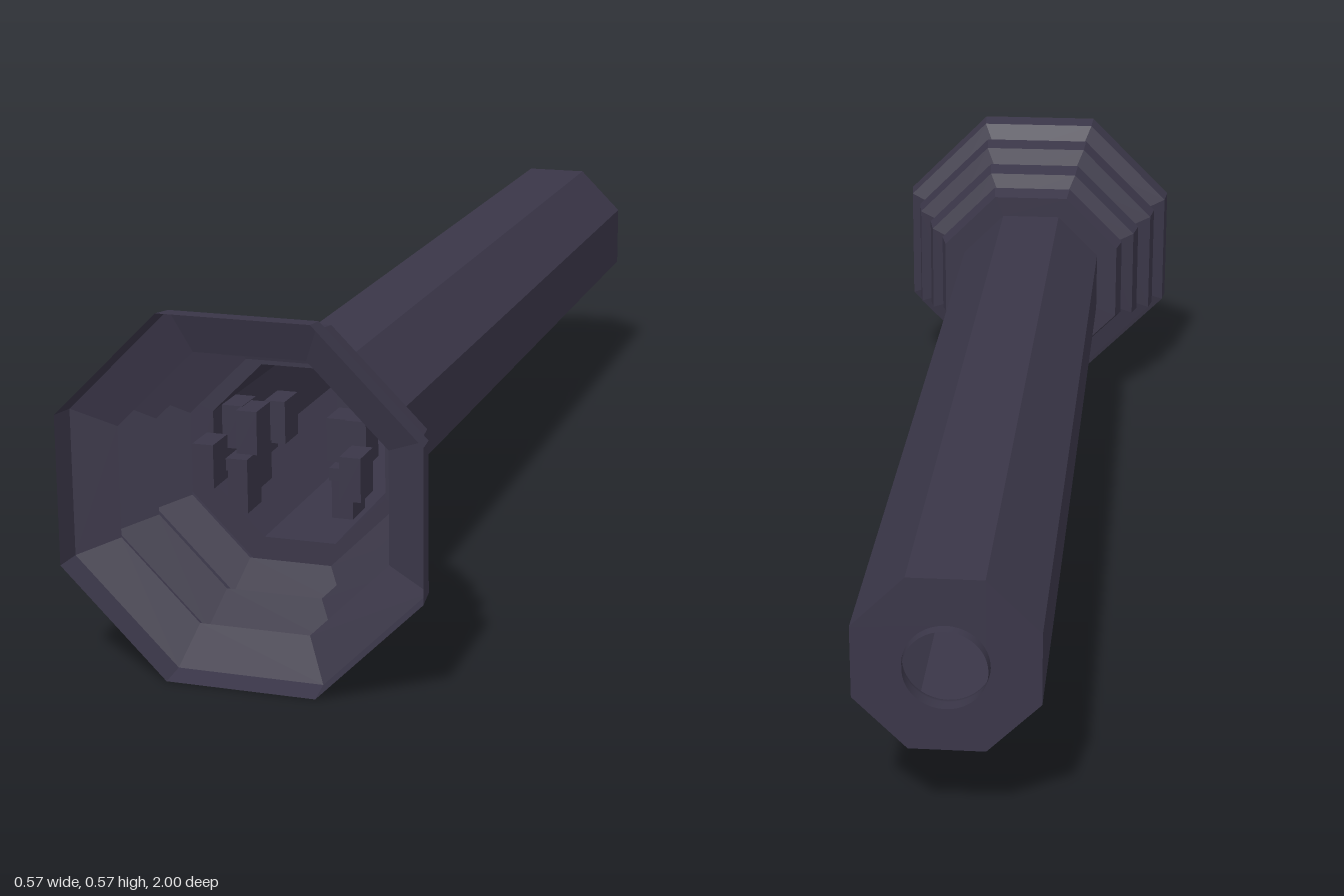
import * as THREE from 'three';

const CENTRE_Y = 0.286;
const material = new THREE.MeshStandardMaterial({ color: 0x3a3648, flatShading: true, side: THREE.DoubleSide });
const smooth = new THREE.MeshStandardMaterial({ color: 0x3a3648, side: THREE.DoubleSide });

// Sweep [radius, z] pairs around the z axis; octagons take the distance to a flat.
function sweep(name, profile, sides) {
  const octagon = sides === 8;
  const k = octagon ? 1 / Math.cos(Math.PI / 8) : 1;
  const points = profile.map(([r, z]) => new THREE.Vector2(r * k, z));
  const geometry = new THREE.LatheGeometry(points, sides, octagon ? Math.PI / 8 : 0);
  geometry.rotateX(Math.PI / 2);
  const mesh = new THREE.Mesh(geometry, octagon ? material : smooth);
  mesh.name = name;
  return mesh;
}

export function createModel() {
  const model = new THREE.Group();
  model.name = 'octagonalHorn';
  const body = new THREE.Group();
  body.name = 'body';
  body.position.y = CENTRE_Y;
  model.add(body);

  // Pleated bell: each ridge is a short band between two pinched grooves
  body.add(sweep('bell', [
    [0.285, 1], [0.28, 0.957], [0.213, 0.935],
    [0.258, 0.91], [0.251, 0.867], [0.187, 0.85],
    [0.226, 0.83], [0.217, 0.79], [0.162, 0.775],
    [0.193, 0.765], [0.183, 0.73], [0.142, 0.73],
  ], 8));

  // Long hollow tube
  body.add(sweep('tube', [[0.142, 0.73], [0.142, -0.985]], 8));

  // Back plate with a round hole
  const plate = new THREE.Shape();
  for (let i = 0; i < 8; i++) {
    const a = (i + 0.5) * Math.PI / 4;
    const r = 0.142 / Math.cos(Math.PI / 8);
    plate[i ? 'lineTo' : 'moveTo'](r * Math.cos(a), r * Math.sin(a));
  }
  plate.closePath();
  const hole = new THREE.Path();
  hole.absarc(0, 0, 0.066, 0, Math.PI * 2, true);
  plate.holes.push(hole);
  const backPlate = new THREE.Mesh(
    new THREE.ExtrudeGeometry(plate, { depth: 0.01, bevelEnabled: false, curveSegments: 32 }), material);
  backPlate.name = 'backPlate';
  backPlate.position.z = -0.985;
  body.add(backPlate);

  // Rounded collar inside the hole, ending in a small rear lip
  body.add(sweep('mouthRing', [
    [0.082, -0.975], [0.08, -0.965], [0.074, -0.96], [0.068, -0.965], [0.066, -0.975],
    [0.064, -1], [0.057, -1], [0.057, -0.99], [0.066, -0.975],
  ].slice(0, 6), 40));

  // Small blocks clustered inside on both sides: [x, y, z]
  const blocks = new THREE.Group();
  blocks.name = 'innerBlocks';
  const places = [
    [-0.12, 0.287, 0.8], [-0.102, 0.328, 0.72], [-0.071, 0.327, 0.74],
    [-0.061, 0.316, 0.64], [-0.088, 0.23, 0.74], [-0.1, 0.243, 0.66],
    [0.061, 0.341, 0.64], [0.071, 0.321, 0.72], [0.107, 0.326, 0.74],
    [0.118, 0.287, 0.8], [0.085, 0.237, 0.74],
  ];
  const blockGeometry = new THREE.BoxGeometry(0.034, 0.07, 0.06);
  places.forEach(([x, y, z]) => {
    const block = new THREE.Mesh(blockGeometry, material);
    block.name = 'block';
    block.position.set(x, y - CENTRE_Y, z);
    blocks.add(block);
  });

  // Thin pegs holding the blocks together on each side
  for (const side of [-1, 1]) {
    const peg = new THREE.Mesh(new THREE.BoxGeometry(0.035, 0.02, 0.14), material);
    peg.name = 'peg';
    peg.position.set(side * 0.085, -0.01, 0.71);
    blocks.add(peg);
  }
  body.add(blocks);
  return model;
}
